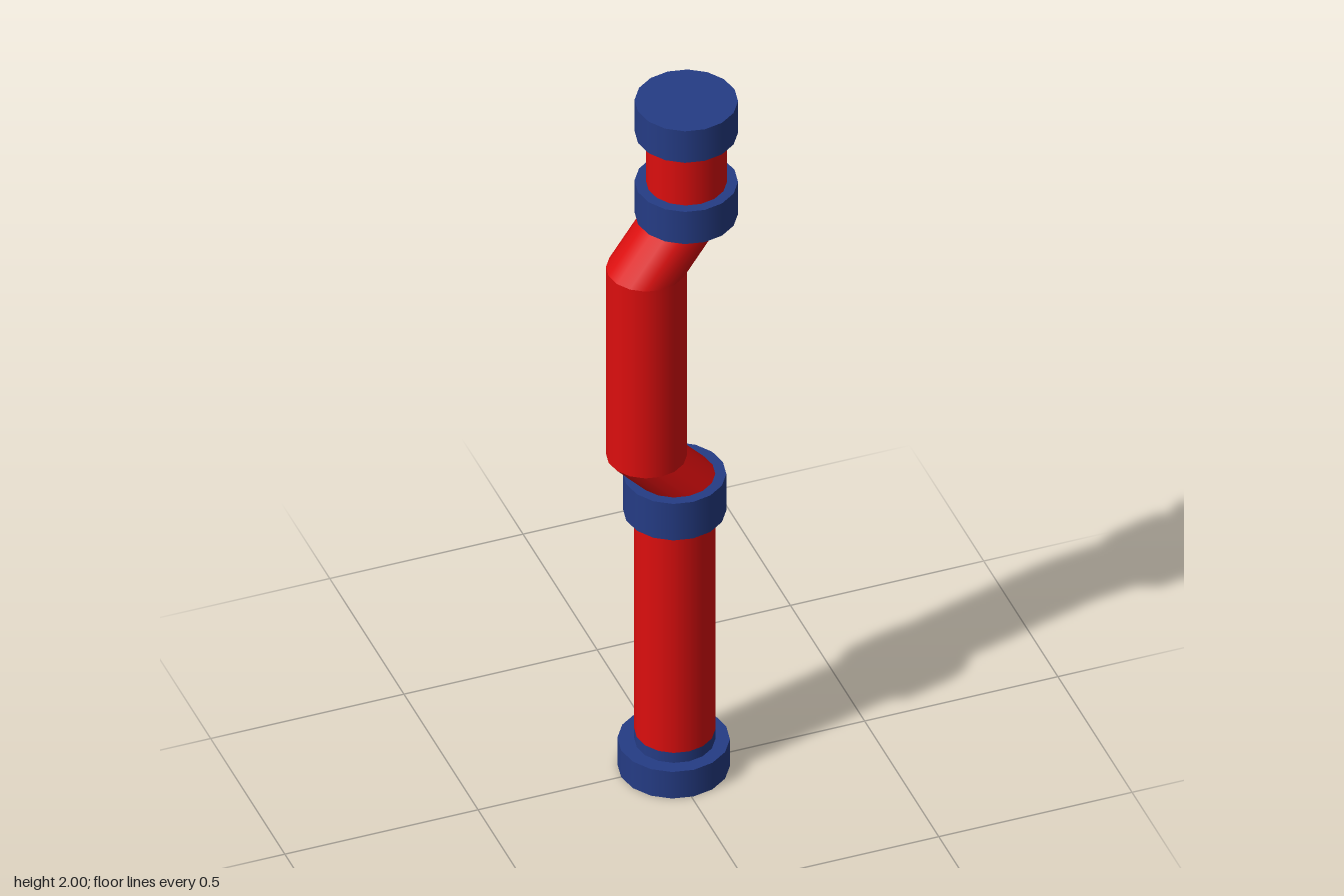
import * as THREE from 'three';

const SIDES = 16;

export function createModel() {
  const model = new THREE.Group();
  model.name = 'bentPipe';
  const red = new THREE.MeshStandardMaterial({ color: 0xdd0e0e });
  red.name = 'red';
  const blue = new THREE.MeshStandardMaterial({ color: 0x253c85 });
  blue.name = 'blue';

  // Round section between two heights, sheared so its ends stay level
  function section(name, material, radius, [x0, y0, z0], [x1, y1, z1], open) {
    const h = y1 - y0;
    const geometry = new THREE.CylinderGeometry(radius, radius, h, SIDES, 1, open);
    geometry.applyMatrix4(new THREE.Matrix4().makeShear(0, 0, (x1 - x0) / h, (z1 - z0) / h, 0, 0).transpose().transpose());
    // makeShear's yz term tilts z with height, yx tilts x with height
    const mesh = new THREE.Mesh(geometry, material);
    mesh.name = name;
    mesh.position.set((x0 + x1) / 2, (y0 + y1) / 2, (z0 + z1) / 2);
    model.add(mesh);
  }

  // Red pipe, following the offset bend
  const path = [
    ['lowerPipe', [0.008, 0.11, 0.002]],
    ['lowerBend', [0.008, 0.88, 0.002]],
    ['middlePipe', [-0.065, 0.957, 0.002]],
    ['upperBend', [-0.065, 1.52, 0.002]],
    ['upperPipe', [0.036, 1.665, 0.002]],
  ];
  for (let i = 0; i < path.length - 1; i++) {
    section(path[i][0], red, 0.098, path[i][1], path[i + 1][1], true);
  }
  section('neckPipe', red, 0.098, [0.036, 1.66, 0.008], [0.036, 1.92, 0.008], true);

  // Blue base and its short sleeve
  section('base', blue, 0.136, [0.006, 0, 0], [0.006, 0.08, 0]);
  section('baseSleeve', blue, 0.098, [0.008, 0.07, 0.002], [0.008, 0.11, 0.002]);

  // Blue collars and top cap
  section('middleCollar', blue, 0.125, [0.008, 0.77, 0.001], [0.008, 0.88, 0.001]);
  section('upperCollar', blue, 0.125, [0.036, 1.66, 0.007], [0.036, 1.757, 0.007]);
  section('topCap', blue, 0.125, [0.036, 1.905, 0.007], [0.036, 2, 0.007]);

  return model;
}
